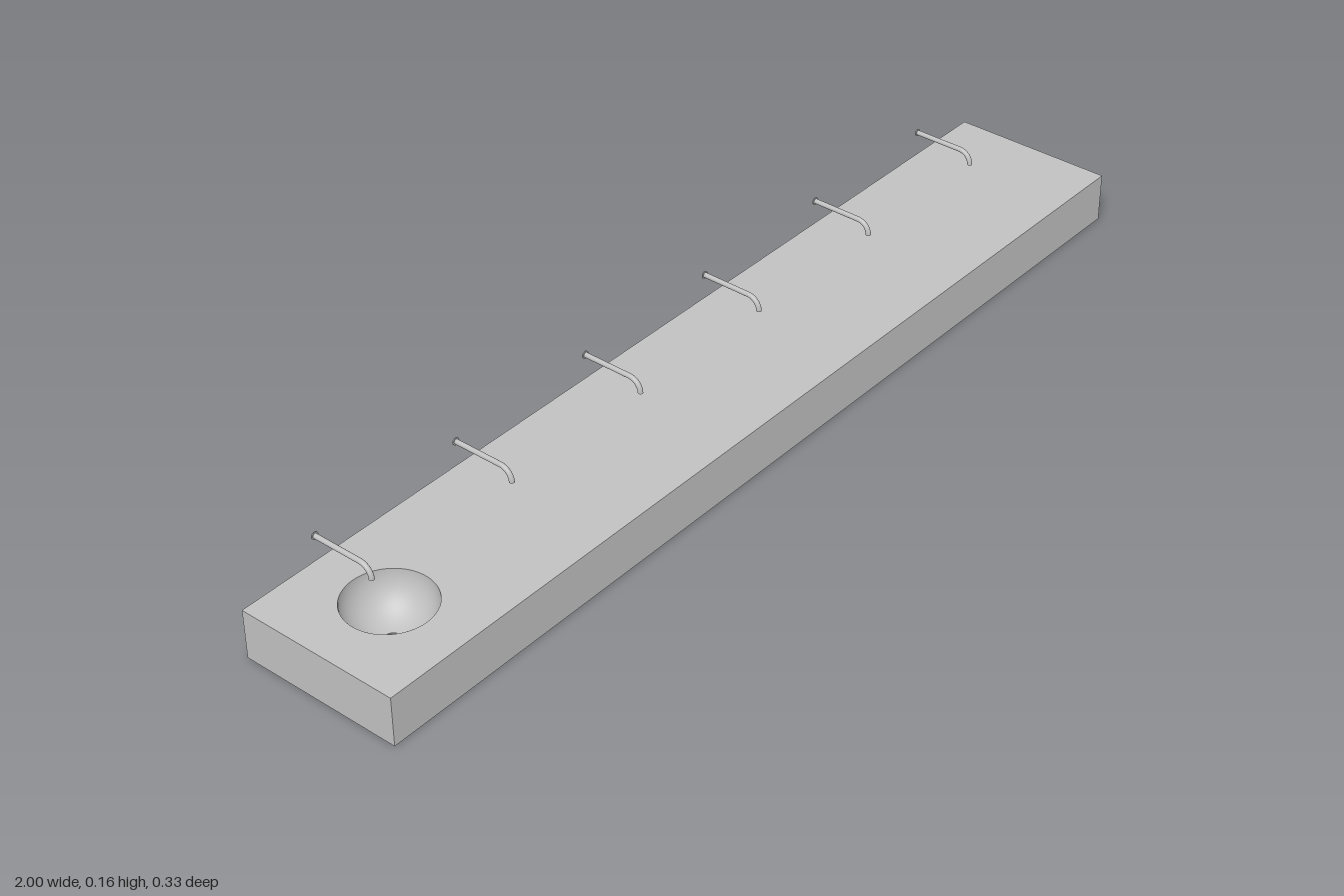
import * as THREE from 'three';

export function createModel() {
  const model = new THREE.Group();
  const grey = new THREE.MeshStandardMaterial({ color: 0xc0c0c0, side: THREE.DoubleSide });
  grey.name = 'light grey';

  const add = (parent, name, geometry, x = 0, y = 0, z = 0) => {
    const mesh = new THREE.Mesh(geometry, grey);
    mesh.name = name;
    mesh.position.set(x, y, z);
    parent.add(mesh);
    return mesh;
  };

  const height = 0.1, halfDepth = 1 / 6, basinX = -5 / 6, basinR = 1 / 12, drainR = 0.0167;

  // Countertop slab with a round hole cut right through
  const outline = new THREE.Shape([
    new THREE.Vector2(-1, -halfDepth), new THREE.Vector2(1, -halfDepth),
    new THREE.Vector2(1, halfDepth), new THREE.Vector2(-1, halfDepth),
  ]);
  const hole = new THREE.Path();
  hole.absarc(basinX, 0, basinR, 0, Math.PI * 2, true);
  outline.holes.push(hole);
  const slab = new THREE.ExtrudeGeometry(outline, { depth: height, bevelEnabled: false, curveSegments: 64 });
  slab.rotateX(-Math.PI / 2);
  add(model, 'countertop', slab);

  // Hemispherical basin hanging in the hole, open at the drain
  const sweep = Math.PI / 2 - Math.asin(drainR / basinR);
  add(model, 'basin', new THREE.SphereGeometry(basinR, 64, 24, 0, Math.PI * 2, Math.PI / 2, sweep), basinX, height, 0);

  // Wall spout: straight pipe, quarter bend down, wall flange
  const pipeY = 0.151, pipeR = 0.005, bend = 0.025, tipZ = -0.0375;
  const k = bend * 0.4477;
  const path = new THREE.CurvePath();
  path.add(new THREE.LineCurve3(
    new THREE.Vector3(0, pipeY, -halfDepth), new THREE.Vector3(0, pipeY, tipZ - bend)));
  path.add(new THREE.CubicBezierCurve3(
    new THREE.Vector3(0, pipeY, tipZ - bend), new THREE.Vector3(0, pipeY, tipZ - k),
    new THREE.Vector3(0, pipeY - k, tipZ), new THREE.Vector3(0, pipeY - bend, tipZ)));
  const pipe = new THREE.TubeGeometry(path, 48, pipeR, 20);
  const tip = new THREE.CircleGeometry(pipeR, 20).rotateX(Math.PI / 2);
  const flange = new THREE.CylinderGeometry(0.0075, 0.0075, 0.002, 24).rotateX(Math.PI / 2);

  for (let i = 0; i < 6; i++) {
    const faucet = new THREE.Group();
    faucet.name = 'faucet';
    faucet.position.x = basinX + i / 3;
    add(faucet, 'pipe', pipe);
    add(faucet, 'spoutTip', tip, 0, pipeY - bend, tipZ);
    add(faucet, 'flange', flange, 0, pipeY, -halfDepth + 0.001);
    model.add(faucet);
  }
  return model;
}
